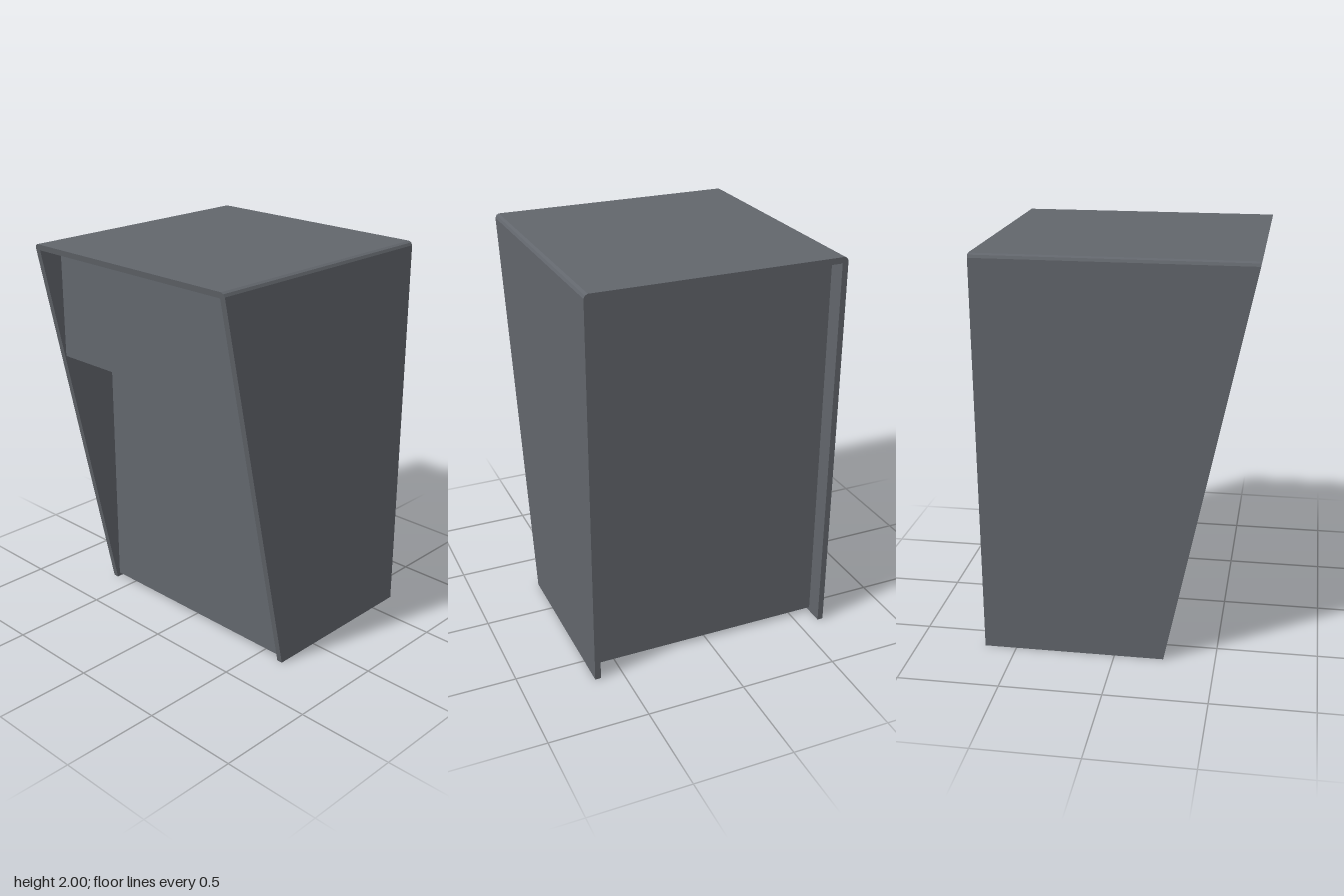
import * as THREE from 'three';

const HALF_W = 0.643, WALL = 0.03, HEIGHT = 2, BACK = -0.66;

// Front edge of the shell leans forward with height
const frontAt = (y) => 0.245 + 0.2075 * y;

const shapeOf = (pts) => new THREE.Shape(pts.map(([x, y]) => new THREE.Vector2(x, y)));

const extrude = (pts, depth) =>
  new THREE.ExtrudeGeometry(shapeOf(pts), { depth, bevelEnabled: false });

export function createModel() {
  const group = new THREE.Group();
  group.name = 'lectern';
  const grey = new THREE.MeshStandardMaterial({ color: 0x62666c });
  grey.name = 'slate grey';

  // Outer shell: two sides and a top in one inverted U with chamfered corners
  const inner = HALF_W - WALL, under = HEIGHT - WALL, c = 0.02;
  const shellGeo = extrude([
    [-HALF_W, 0], [-inner, 0], [-inner, under], [inner, under], [inner, 0], [HALF_W, 0],
    [HALF_W, HEIGHT - c], [HALF_W - c / 3, HEIGHT - c / 3], [HALF_W - c, HEIGHT],
    [-HALF_W + c, HEIGHT], [-HALF_W + c / 3, HEIGHT - c / 3], [-HALF_W, HEIGHT - c],
  ], 1);
  // Stretch the unit depth from the upright back to the sloping front
  const pos = shellGeo.attributes.position;
  for (let i = 0; i < pos.count; i++) {
    pos.setZ(i, BACK + pos.getZ(i) * (frontAt(pos.getY(i)) - BACK));
  }
  shellGeo.computeVertexNormals();
  const shell = new THREE.Mesh(shellGeo, grey);
  shell.name = 'sidesAndTop';
  group.add(shell);

  // Recessed cabinet: overhanging upper front, set-back lower front, flat back
  const bodyGeo = extrude([
    [-0.569, 0.021], [0.23, 0.021], [0.23, 1.4],
    [0.529, 1.4], [0.529, under], [-0.569, under],
  ], inner * 2);
  bodyGeo.rotateY(-Math.PI / 2).translate(inner, 0, 0);
  const body = new THREE.Mesh(bodyGeo, grey);
  body.name = 'cabinet';
  group.add(body);

  return group;
}
